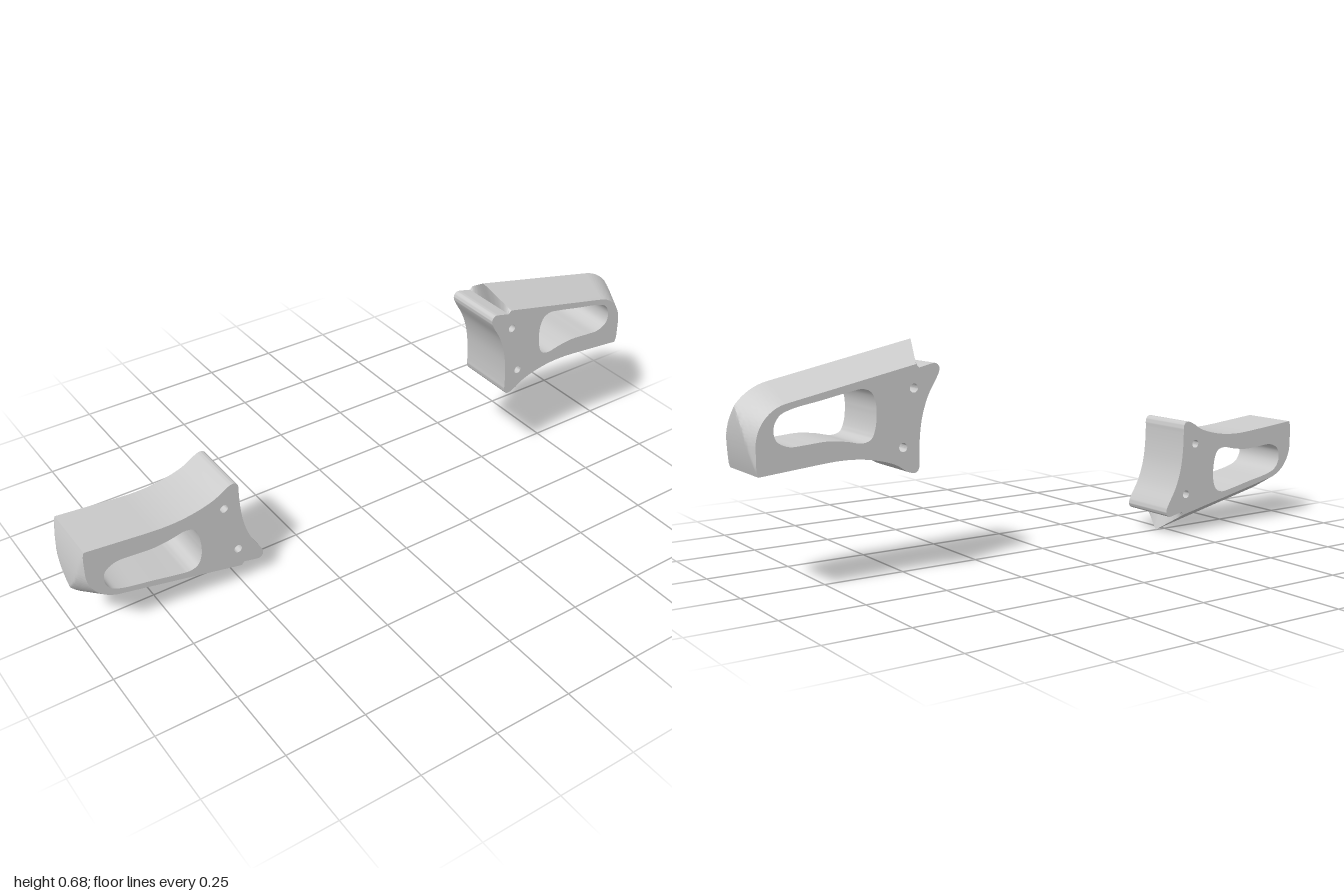
import * as THREE from 'three';
import { mergeGeometries, toCreasedNormals } from 'three/addons/utils/BufferGeometryUtils.js';

const H = 0.097;          // half thickness
const HEIGHT = 0.681;     // overall height
const V = (x, y) => new THREE.Vector2(x, y);

const smooth = (pairs, closed, n) => new THREE.CatmullRomCurve3(
  pairs.map(([x, y]) => new THREE.Vector3(x, y, 0)), closed, 'centripetal'
).getPoints(n).map(p => V(p.x, p.y));

// Concave mounting edge with rounded corners, running on into the curved underside
const mountEdge = smooth([
  [0.455, 0.615], [0.437, 0.617], [0.426, 0.608], [0.425, 0.595], [0.434, 0.575],
  [0.462, 0.527], [0.483, 0.465], [0.492, 0.4], [0.494, 0.345], [0.494, 0.325],
  [0.501, 0.312], [0.515, 0.309], [0.535, 0.317], [0.57, 0.338], [0.62, 0.354],
  [0.68, 0.364], [0.74, 0.366], [0.8, 0.362]
], false, 64);

// Bowed end surface that limits the bevelled rim
const endX = y => 1.0 - 1.1 * (y - 0.49) ** 2;

// Outline at ridge factor t: 0 on the flat faces, 1 on the centre ridge
function outline(t) {
  const pts = [V(endX(0.345), 0.345)];
  const rim = (x, y) => pts.push(V(Math.min(x, endX(y)), y));
  const r = 0.115 + 0.053 * t;
  for (let i = 1; i <= 5; i++) rim(0.867 + r, 0.345 + i * 0.0128);
  for (let i = 0; i <= 36; i++) {
    const a = (i / 36) * 1.365;
    rim(0.867 + r * Math.cos(a), 0.422 + r * Math.sin(a));
  }
  // slanted cut at the tip of the rim, then the notch
  pts.push(V(0.5 - 0.038 * t, 0.617 + 0.064 * t), V(0.49, 0.607));
  return pts.concat(mountEdge);
}

// Wall through slices of equal point count, given as [z, points]
function wall(slices) {
  const n = slices[0][1].length, pos = [], index = [];
  slices.forEach(([z, pts]) => pts.forEach(p => pos.push(p.x, p.y, z)));
  for (let k = 0; k < slices.length - 1; k++) {
    for (let i = 0; i < n; i++) {
      const a = k * n + i, b = k * n + (i + 1) % n;
      index.push(a, b, b + n, a, b + n, a + n);
    }
  }
  const g = new THREE.BufferGeometry();
  g.setAttribute('position', new THREE.Float32BufferAttribute(pos, 3));
  g.setIndex(index);
  return g;
}

// Flat face with its openings
function cap(points, holes, z) {
  const shape = new THREE.Shape(points);
  shape.holes = holes.map(h => new THREE.Path(h));
  const g = new THREE.ShapeGeometry(shape);
  g.deleteAttribute('uv');
  g.deleteAttribute('normal');
  g.translate(0, 0, z);
  if (z < 0) g.setIndex(Array.from(g.index.array).reverse());
  return g;
}

function gripGeometry() {
  // Long opening, listed clockwise
  const slot = smooth([
    [0.626, 0.49], [0.63, 0.525], [0.643, 0.549], [0.668, 0.558], [0.7, 0.554],
    [0.79, 0.536], [0.88, 0.518], [0.913, 0.503], [0.93, 0.473], [0.924, 0.437],
    [0.89, 0.418], [0.84, 0.419], [0.775, 0.423], [0.72, 0.417], [0.672, 0.408],
    [0.645, 0.416], [0.632, 0.442]
  ], true, 72).slice(0, -1);

  // Two screw holes, clockwise
  const screws = [[0.508, 0.55], [0.545, 0.385]].map(([x, y]) =>
    Array.from({ length: 20 }, (_, i) => {
      const a = -i / 20 * Math.PI * 2;
      return V(x + 0.013 * Math.cos(a), y + 0.013 * Math.sin(a));
    }));
  const holes = [slot, ...screws];

  const slices = [];
  for (let k = -14; k <= 14; k++) slices.push([H * k / 14, outline(1 - Math.abs(k) / 14)]);

  const face = outline(0);
  const merged = mergeGeometries([
    wall(slices),
    ...holes.map(h => wall([[-H, h], [H, h]])),
    cap(face, holes, H),
    cap(face, holes, -H)
  ]);
  return toCreasedNormals(merged, 0.5);
}

export function createModel() {
  const model = new THREE.Group();
  const geometry = gripGeometry();
  const material = new THREE.MeshStandardMaterial({ color: 0xcccccc });

  const left = new THREE.Mesh(geometry, material);
  left.name = 'leftBracket';

  // The second bracket is the first turned half a revolution
  const right = new THREE.Mesh(geometry, material);
  right.name = 'rightBracket';
  right.rotation.z = Math.PI;
  right.position.y = HEIGHT;

  model.add(left, right);
  return model;
}
